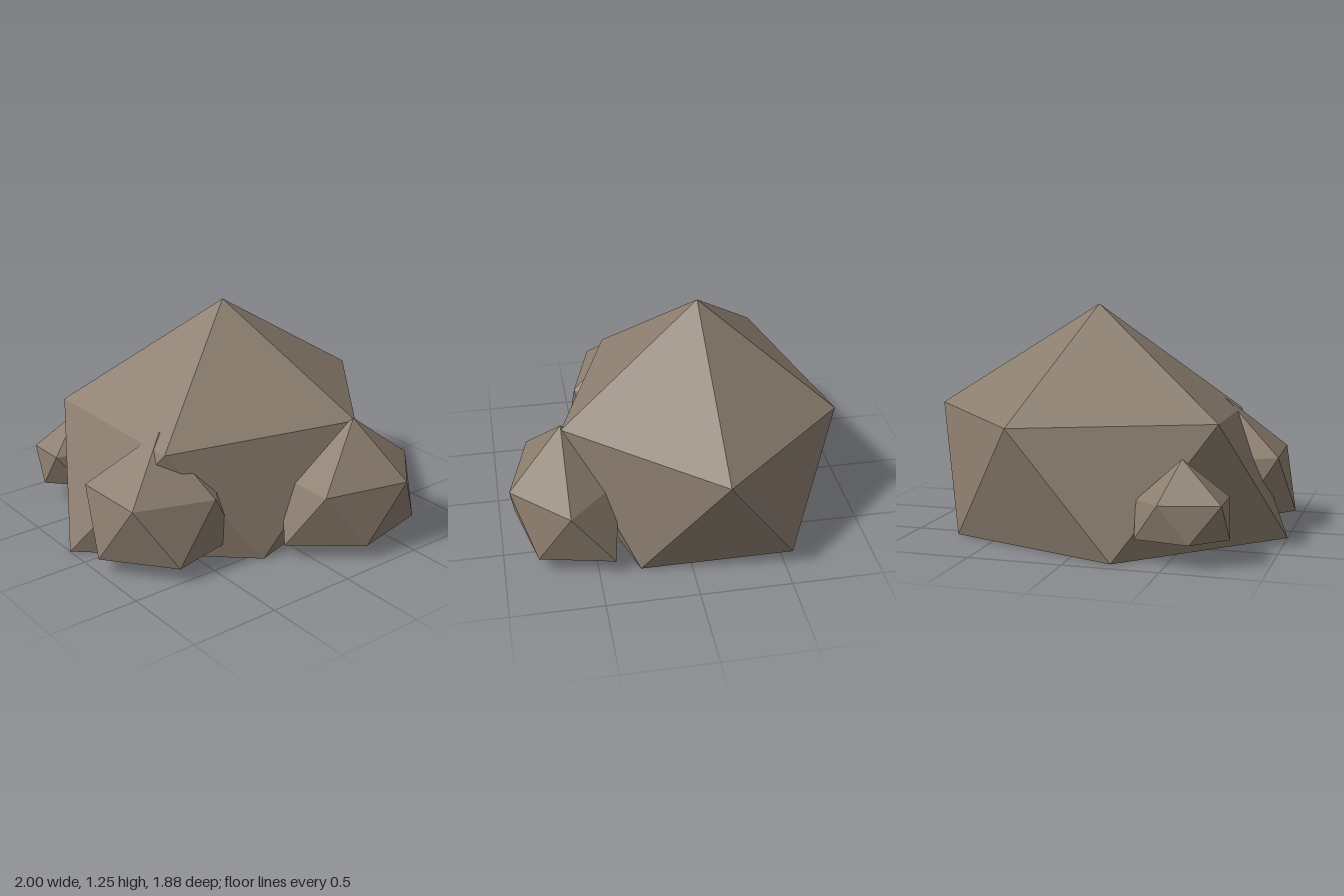
import * as THREE from 'three';

// Faceted boulder: a peak, five shoulder corners, five foot corners and a flat base.
// Both rings run counter-clockwise seen from above; foot i sits between shoulders i and i + 1.
function boulder(name, peak, shoulders, feet, baseY, material) {
  const v = (p) => new THREE.Vector3(...p);
  const top = v(peak);
  const upper = shoulders.map(v);
  const lower = feet.map(([x, z]) => new THREE.Vector3(x, baseY, z));
  const points = [];
  for (let i = 0; i < 5; i++) {
    const j = (i + 1) % 5;
    points.push(top, upper[i], upper[j]);        // crown
    points.push(upper[i], lower[i], upper[j]);   // sides
    points.push(lower[i], lower[j], upper[j]);
    if (i > 0 && i < 4) points.push(lower[0], lower[j], lower[i]); // flat base
  }
  const geometry = new THREE.BufferGeometry().setFromPoints(points);
  geometry.computeVertexNormals();
  const mesh = new THREE.Mesh(geometry, material);
  mesh.name = name;
  return mesh;
}

export function createModel() {
  const group = new THREE.Group();
  group.name = 'rockCluster';
  const stone = new THREE.MeshStandardMaterial({ color: 0x8b7d6e });
  stone.name = 'stone';
  stone.flatShading = true;

  group.add(
    boulder('mainBoulder', [0.06, 1.245, -0.15],
      [[1, 0.665, -0.15], [0.34, 0.65, -0.88], [-0.71, 0.68, -0.63], [-0.66, 0.64, 0.29], [0.36, 0.69, 0.64]],
      [[0.74, -0.57], [-0.23, -0.92], [-1, -0.15], [-0.21, 0.565], [0.74, 0.275]],
      0, stone),
    boulder('frontRock', [0.345, 0.71, 0.64],
      [[0.765, 0.395, 0.64], [0.475, 0.4, 0.35], [0, 0.39, 0.45], [0, 0.395, 0.815], [0.475, 0.4, 0.94]],
      [[0.76, 0.41], [0.22, 0.37], [-0.13, 0.64], [0.22, 0.915], [0.67, 0.815]],
      0.085, stone),
    boulder('sideRock', [-0.595, 0.71, 0.15],
      [[-0.2, 0.4, 0.15], [-0.47, 0.4, -0.2], [-0.93, 0.42, -0.07], [-0.915, 0.42, 0.36], [-0.48, 0.41, 0.49]],
      [[-0.27, -0.1], [-0.72, -0.2], [-1, 0.15], [-0.72, 0.5], [-0.27, 0.4]],
      0.085, stone),
    boulder('backRock', [-0.555, 0.52, -0.76],
      [[-0.33, 0.31, -0.81], [-0.47, 0.315, -0.94], [-0.78, 0.32, -0.88], [-0.775, 0.32, -0.65], [-0.48, 0.32, -0.55]],
      [[-0.34, -0.88], [-0.63, -0.93], [-0.8, -0.76], [-0.63, -0.58], [-0.36, -0.62]],
      0.125, stone),
  );
  return group;
}
